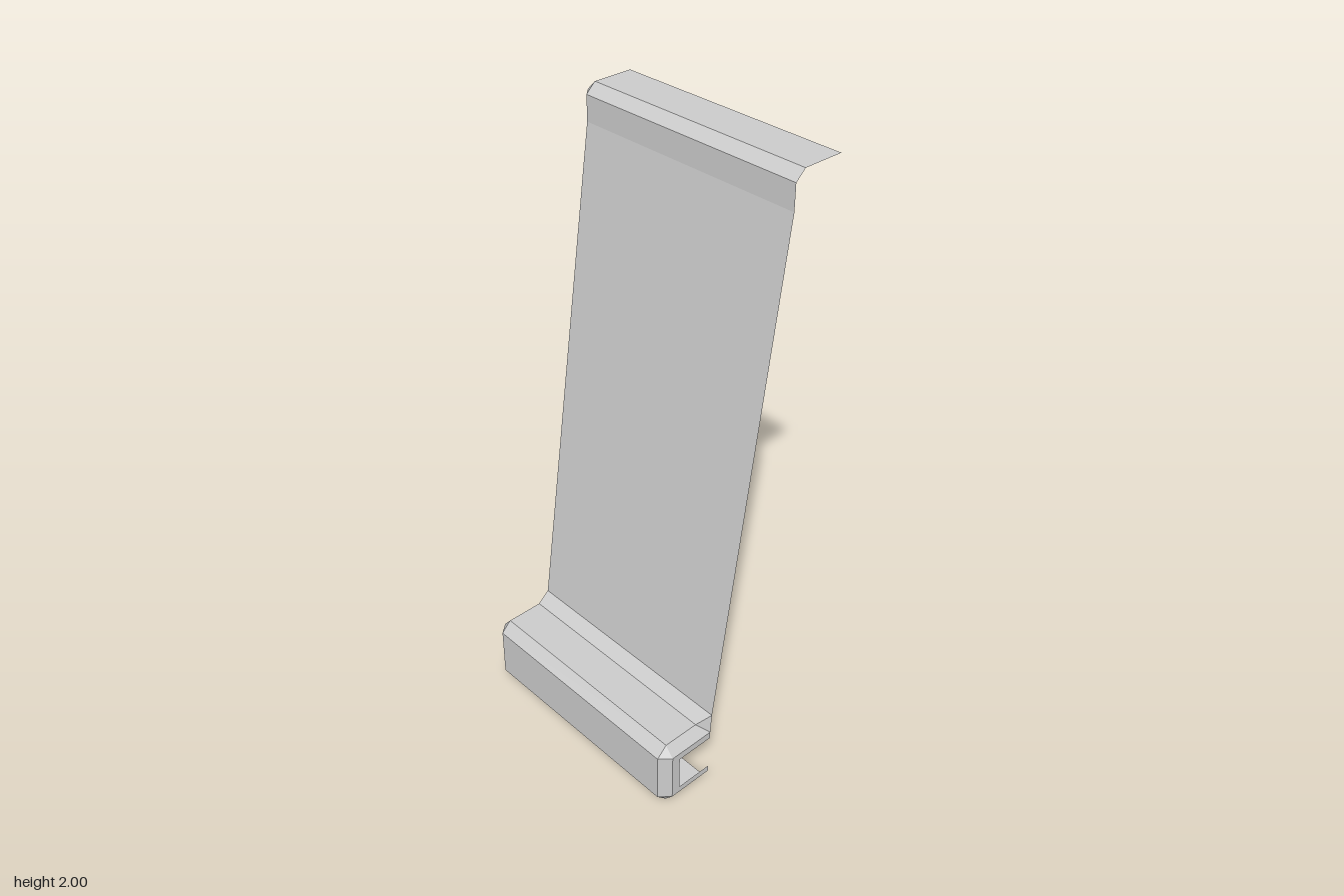
import * as THREE from 'three';

const material = new THREE.MeshStandardMaterial({
  color: 0xcccccc, flatShading: true, side: THREE.DoubleSide,
});

// Cross-sections as [z, y], running from the lower lip up to the top flange.
// Doubled points close the cut corners with triangles.
const outer = [
  [0.125, 0], [0.28, 0], [0.315, 0.035], [0.315, 0.205], [0.28, 0.24], [0.155, 0.24],
  [0.115, 0.275], [-0.115, 1.89], [-0.115, 1.97], [-0.147, 2], [-0.28, 2],
];
const bevel = [
  [0.125, 0.035], [0.28, 0.035], [0.28, 0.035], [0.28, 0.205], [0.28, 0.205], [0.095, 0.205],
  [0.095, 0.205], [-0.147, 1.89], [-0.147, 1.97], [-0.147, 1.97], [-0.295, 1.97],
];
const inner = [
  [0.125, 0.057], [0.25, 0.057], [0.25, 0.057], [0.25, 0.18], [0.25, 0.18], [0.055, 0.18],
  [0.055, 0.18], [-0.185, 1.87], [-0.183, 1.93], [-0.183, 1.93], [-0.31, 1.93],
];

const LIP_POINTS = 6;
const EDGE = 0.41;
const FACE = 0.38;

// Place a profile at a fixed x, or at an x chosen per point
const row = (profile, x) => profile.map(([z, y], i) =>
  new THREE.Vector3(typeof x === 'function' ? x(i) : x, y, z));

// Join two rows of points with flat faces, skipping collapsed triangles
function strip(name, a, b) {
  const points = [];
  const triangle = (p, q, r) => {
    if (new THREE.Triangle(p, q, r).getArea() > 1e-7) points.push(p, q, r);
  };
  for (let i = 0; i < a.length - 1; i++) {
    triangle(a[i], b[i], b[i + 1]);
    triangle(a[i], b[i + 1], a[i + 1]);
  }
  const geometry = new THREE.BufferGeometry().setFromPoints(points);
  geometry.computeVertexNormals();
  const mesh = new THREE.Mesh(geometry, material);
  mesh.name = name;
  return mesh;
}

export function createModel() {
  const group = new THREE.Group();
  group.name = 'bevelledPanel';

  // Front skin: hooked lip, leaning panel and top flange
  const skinLeft = row(outer, -FACE);
  const skinRight = row(outer, i => (i < LIP_POINTS ? FACE : EDGE));
  group.add(strip('frontSkin', skinLeft, skinRight));

  // Full-height bevel and side wall on the right edge
  const rightBevel = row(bevel, -EDGE);
  group.add(strip('rightBevel', rightBevel, skinLeft));
  group.add(strip('rightWall', row(inner, -EDGE), rightBevel));

  // The left edge is closed only along the lip; the panel above stays open
  const lipEnd = (profile) => {
    const points = profile.slice(0, LIP_POINTS - 1);
    const end = [0.12, profile[LIP_POINTS - 1][1]];
    return row([...points, end, end], EDGE);
  };
  const lipBevel = lipEnd(bevel);
  group.add(strip('leftLipBevel', skinRight.slice(0, LIP_POINTS + 1), lipBevel));
  group.add(strip('leftLipWall', lipBevel, lipEnd(inner)));

  return group;
}
